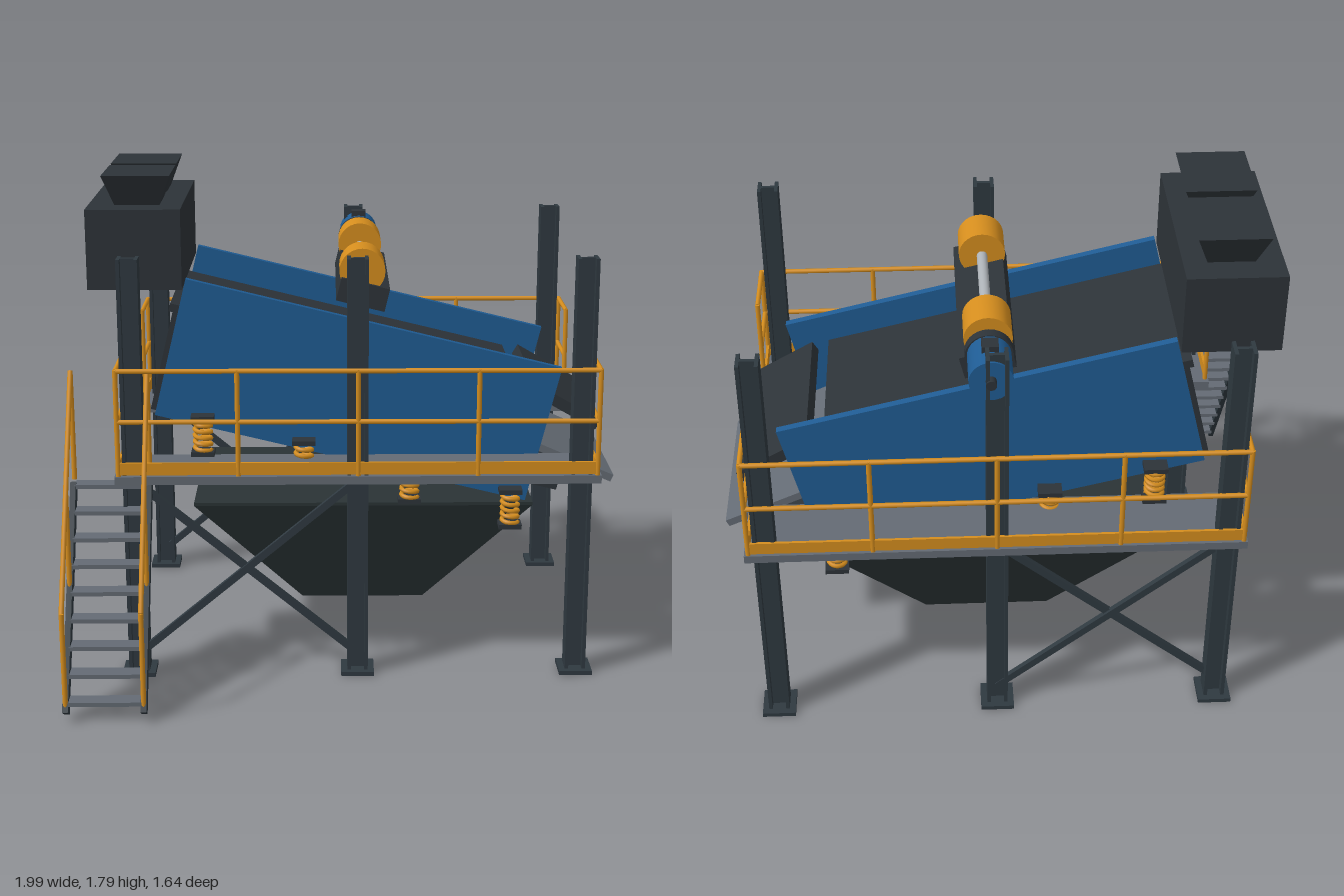
import * as THREE from 'three';

const mat = (name, hex) => {
  const m = new THREE.MeshStandardMaterial({ color: hex });
  m.name = name;
  return m;
};

export function createModel() {
  const steel = mat('frame steel', 0x2f3940);
  const dark = mat('dark machine steel', 0x2d3338);
  const binMat = mat('bin steel', 0x2a3335);
  const blue = mat('blue paint', 0x1f5c94);
  const orange = mat('safety orange', 0xd68e1e);
  const grey = mat('deck grey', 0x646b74);
  const silver = mat('bare shaft', 0xaeb3b8);

  const root = new THREE.Group();
  root.name = 'vibratingScreenPlant';
  const group = (name, parent = root) => {
    const g = new THREE.Group();
    g.name = name;
    parent.add(g);
    return g;
  };
  const add = (parent, name, geo, material, x = 0, y = 0, z = 0) => {
    const m = new THREE.Mesh(geo, material);
    m.name = name;
    m.position.set(x, y, z);
    parent.add(m);
    return m;
  };
  const box = (parent, name, material, w, h, d, x, y, z) =>
    add(parent, name, new THREE.BoxGeometry(w, h, d), material, x, y, z);
  // box given by its limits
  const span = (parent, name, material, x0, x1, y0, y1, z0, z1) =>
    box(parent, name, material, x1 - x0, y1 - y0, z1 - z0, (x0 + x1) / 2, (y0 + y1) / 2, (z0 + z1) / 2);
  // member running from a to b
  const between = (parent, name, material, a, b, makeGeo) => {
    const p = new THREE.Vector3(...a), q = new THREE.Vector3(...b);
    const m = add(parent, name, makeGeo(p.distanceTo(q)), material);
    m.position.copy(p).lerp(q, 0.5);
    m.lookAt(q);
    return m;
  };
  const bar = (parent, name, material, a, b, w, h) =>
    between(parent, name, material, a, b, (l) => new THREE.BoxGeometry(w, h, l));
  const pipe = (parent, name, a, b, r = 0.009) =>
    between(parent, name, orange, a, b, (l) => new THREE.CylinderGeometry(r, r, l, 8).rotateX(Math.PI / 2));
  const drum = (parent, name, material, r, z0, z1, x, y) =>
    add(parent, name, new THREE.CylinderGeometry(r, r, z1 - z0, 28).rotateX(Math.PI / 2), material, x, y, (z0 + z1) / 2);
  // box with a narrower bottom
  const funnel = (parent, name, material, w, h, d, sx, sz, x, y, z) => {
    const g = new THREE.BoxGeometry(w, h, d), p = g.attributes.position;
    for (let i = 0; i < p.count; i++)
      if (p.getY(i) < 0) p.setXYZ(i, p.getX(i) * sx, p.getY(i), p.getZ(i) * sz);
    g.computeVertexNormals();
    return add(parent, name, g, material, x, y, z);
  };

  const ZC = -0.195; // machine centre line
  const TILT = -0.24;

  // H-section columns with base plates
  for (const x of [-0.77, 0.03, 0.83]) for (const z of [0.37, -0.76]) {
    const c = group('column');
    c.position.set(x, 0, z);
    box(c, 'basePlate', steel, 0.12, 0.016, 0.12, 0, 0.008, 0);
    box(c, 'web', steel, 0.07, 1.53, 0.014, 0, 0.78, 0);
    for (const s of [-1, 1]) box(c, 'flange', steel, 0.013, 1.53, 0.076, s * 0.031, 0.78, 0);
  }

  // Cross braces in the feed-end bays
  for (const z of [0.37, -0.76]) {
    bar(root, 'brace', steel, [-0.75, 0.72, z], [0.03, 0.07, z], 0.02, 0.026);
    bar(root, 'brace', steel, [-0.75, 0.09, z + 0.01], [0.03, 0.74, z + 0.01], 0.02, 0.026);
  }

  // Walkways with railings on three edges, mirrored about the centre line
  for (const s of [1, -1]) {
    const w = group('walkway');
    const zOut = ZC + s * 0.605, zIn = ZC + s * 0.365;
    box(w, 'deck', grey, 1.735, 0.03, 0.275, 0.032, 0.75, ZC + s * 0.478);
    const xa = -0.822, xb = 0.885;
    for (const y of [0.965, 1.15]) {
      pipe(w, 'rail', [xa, y, zOut], [xb, y, zOut]);
      for (const x of [xa, xb]) pipe(w, 'endRail', [x, y, zOut], [x, y, zIn]);
    }
    for (let i = 0; i < 5; i++) {
      const x = xa + ((xb - xa) * i) / 4;
      pipe(w, 'post', [x, 0.765, zOut], [x, 1.155, zOut]);
    }
    span(w, 'toeBoard', orange, xa, xb, 0.77, 0.815, zOut - 0.005, zOut + 0.005);
    for (const x of [xa, xb]) {
      pipe(w, 'endPost', [x, 0.765, zIn], [x, 1.155, zIn]);
      box(w, 'endToeBoard', orange, 0.01, 0.045, 0.24, x, 0.792, (zOut + zIn) / 2);
    }
  }

  // Stair with handrails
  const stair = group('stair');
  for (const x of [-0.985, -0.715]) {
    bar(stair, 'stringer', steel, [x, 0.03, 0.8], [x, 0.73, 0.38], 0.02, 0.05);
    pipe(stair, 'handrail', [x, 0.4, 0.803], [x, 1.14, 0.36]);
    pipe(stair, 'handrailPost', [x, 0.04, 0.803], [x, 0.4, 0.803]);
    pipe(stair, 'handrailPost', [x, 0.4, 0.587], [x, 0.76, 0.587]);
    pipe(stair, 'handrailPost', [x, 0.74, 0.36], [x, 1.14, 0.36]);
  }
  for (let i = 0; i < 9; i++)
    box(stair, 'tread', grey, 0.26, 0.015, 0.062, -0.85, 0.065 + i * 0.0825, 0.775 - i * 0.0495);

  // Inclined screen box
  const screen = group('screenBox');
  screen.position.set(0.035, 1.005, ZC);
  screen.rotation.z = TILT;
  for (const s of [-1, 1]) box(screen, 'sidePlate', blue, 1.41, 0.523, 0.028, 0, 0, s * 0.333);
  span(screen, 'upperDeck', dark, -0.74, 0.57, 0.125, 0.155, -0.32, 0.32);
  span(screen, 'lowerDeck', dark, -0.7, 0.815, -0.205, -0.18, -0.31, 0.31);
  span(screen, 'feedEndWall', dark, -0.725, -0.7, -0.25, 0.14, -0.32, 0.32);
  // Vibrator beam across the top
  box(screen, 'vibratorBeam', dark, 0.18, 0.085, 0.72, -0.07, 0.358, 0);

  // Discharge chutes
  bar(root, 'upperChute', dark, [0.675, 1.008, ZC], [0.928, 0.862, ZC], 0.6, 0.042);
  bar(root, 'lowerChute', grey, [0.6, 0.825, ZC], [0.988, 0.653, ZC], 0.6, 0.028);

  // Vibrator drums, shaft and drive motor
  const drive = group('drive');
  drum(drive, 'vibratorDrum', orange, 0.083, 0.005, 0.147, 0.05, 1.452);
  drum(drive, 'vibratorDrum', orange, 0.083, -0.535, -0.39, 0.05, 1.452);
  drum(drive, 'shaft', silver, 0.019, -0.4, 0.01, 0.05, 1.447);
  drum(drive, 'motorFlange', dark, 0.082, -0.622, -0.585, 0.05, 1.442);
  drum(drive, 'motorBody', blue, 0.074, -0.775, -0.62, 0.05, 1.447);
  drum(drive, 'motorStub', dark, 0.018, -0.805, -0.77, 0.05, 1.45);
  box(drive, 'terminalBox', dark, 0.056, 0.035, 0.056, 0.05, 1.522, -0.685);

  // Feed box with two inlet hoppers
  const feed = group('feedBox');
  span(feed, 'feedBody', dark, -0.94, -0.6, 1.39, 1.68, -0.555, 0.165);
  for (const s of [-1, 1])
    funnel(feed, 'inletHopper', dark, 0.245, 0.112, 0.283, 0.66, 0.68, -0.763, 1.736, ZC + s * 0.161);

  // Undersize collecting bin
  const bin = group('collectingBin');
  funnel(bin, 'binBody', binMat, 1.26, 0.415, 0.72, 0.365, 0.6, 0.055, 0.362, ZC);
  box(bin, 'binRim', binMat, 1.26, 0.012, 0.72, 0.055, 0.575, ZC);

  // Coil springs carrying the screen box
  const pts = [];
  for (let i = 0; i <= 60; i++) {
    const a = (i / 60) * Math.PI * 10;
    pts.push(new THREE.Vector3(Math.cos(a) * 0.03, -0.058 + (0.116 * i) / 60, Math.sin(a) * 0.03));
  }
  const coil = new THREE.TubeGeometry(new THREE.CatmullRomCurve3(pts), 120, 0.0085, 6);
  [[-0.535, 0.85], [-0.165, 0.757], [0.225, 0.665], [0.6, 0.565]].forEach(([x, y]) => {
    for (const s of [-1, 1]) {
      const g = group('springMount');
      g.position.set(x, y, ZC + s * 0.372);
      add(g, 'coilSpring', coil, orange);
      for (const t of [-1, 1]) box(g, 'springSeat', dark, 0.085, 0.018, 0.066, 0, t * 0.067, 0);
    }
  });

  return root;
}
